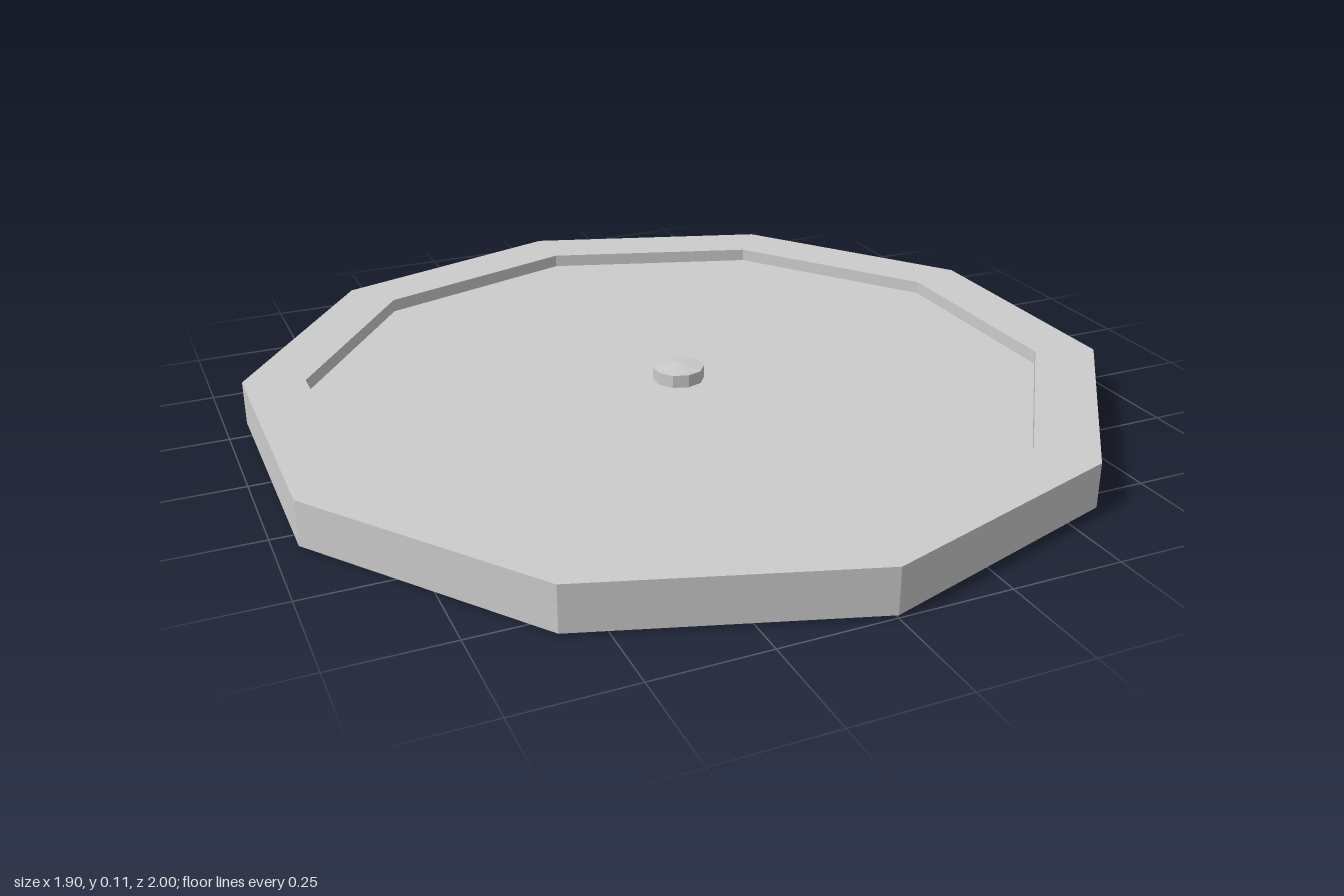
import * as THREE from 'three';

const SIDES = 10;

// Revolve a profile, listed from bottom centre round to top centre, into a faceted solid
function facetedSolid(name, profile) {
  const points = profile.map(([r, y]) => new THREE.Vector2(r, y));
  const material = new THREE.MeshStandardMaterial({ color: 0xcccccc, flatShading: true });
  const mesh = new THREE.Mesh(new THREE.LatheGeometry(points, SIDES), material);
  mesh.name = name;
  return mesh;
}

export function createModel() {
  const group = new THREE.Group();
  group.name = 'decagonalDisc';

  // Thin web with a thicker rim standing proud on both faces
  const outer = 1, inner = 0.857;
  const rimBottom = 0.006, rimTop = 0.108, recess = 0.031;
  group.add(facetedSolid('rimAndWeb', [
    [0, rimBottom + recess],
    [inner, rimBottom + recess],
    [inner, rimBottom],
    [outer, rimBottom],
    [outer, rimTop],
    [inner, rimTop],
    [inner, rimTop - recess],
    [0, rimTop - recess],
  ]));

  // Central hub with shallow pointed caps
  const hubRadius = 0.06;
  group.add(facetedSolid('hub', [
    [0, 0],
    [hubRadius, 0.007],
    [hubRadius, 0.107],
    [0, 0.114],
  ]));

  return group;
}
